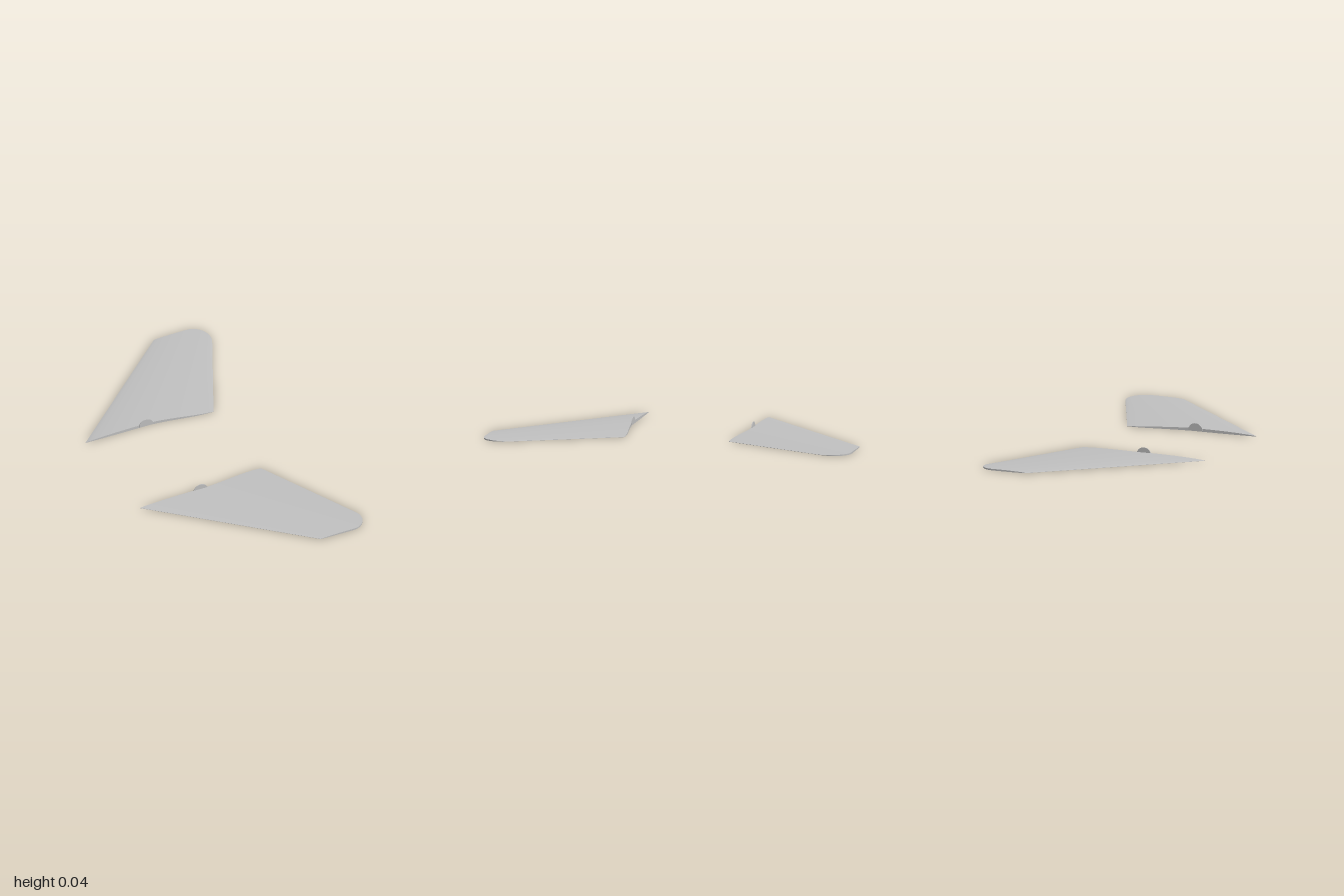
import * as THREE from 'three';

const V = (x, z) => new THREE.Vector2(x, z);

// Root edge: straight at the front, then bowing inward to the trailing corner
const root = new THREE.CurvePath();
root.add(new THREE.LineCurve(V(-0.51, 0.327), V(-0.14, 0.327)));
root.add(new THREE.CubicBezierCurve(V(-0.14, 0.327), V(0, 0.32), V(0.1, 0.284), V(0.225, 0.284)));

// Tip edge: straight, then a rounded trailing corner
const tip = new THREE.CurvePath();
tip.add(new THREE.LineCurve(V(0.225, 1), V(0.42, 1)));
tip.add(new THREE.CubicBezierCurve(V(0.42, 1), V(0.485, 1), V(0.53, 0.925), V(0.498, 0.855)));

// Planform position and thickness, u = leading to trailing edge, v = root to tip
function wingPoint(u, v, top) {
  const p = root.getPoint(u).lerp(tip.getPoint(u), v);
  const bulge = Math.pow(Math.sin(Math.PI * Math.pow(u, 0.85)), 0.8) || 0;
  const edge = 0.003 * (1 - u);
  const y = top ? edge + 0.001 + (0.013 - 0.007 * v) * bulge : edge * Math.pow(1 - u, 4);
  return [p.x, y, p.y];
}

// Smooth grid surface; flip reverses the facing
function surface(fn, nu, nv, flip) {
  const pos = [], index = [];
  for (let j = 0; j <= nv; j++)
    for (let i = 0; i <= nu; i++) pos.push(...fn(i / nu, j / nv));
  for (let j = 0; j < nv; j++) {
    for (let i = 0; i < nu; i++) {
      const a = j * (nu + 1) + i, b = a + 1, c = a + nu + 1, d = c + 1;
      index.push(...(flip ? [a, b, c, b, d, c] : [a, c, b, b, c, d]));
    }
  }
  const g = new THREE.BufferGeometry();
  g.setAttribute('position', new THREE.Float32BufferAttribute(pos, 3));
  g.setIndex(index);
  g.computeVertexNormals();
  return g;
}

export function createModel() {
  const model = new THREE.Group();
  model.name = 'wingPair';
  const grey = new THREE.MeshStandardMaterial({ color: 0xc0c0c0 });
  grey.name = 'light grey';

  for (const side of [1, -1]) {
    const wing = new THREE.Group();
    wing.name = side > 0 ? 'frontWing' : 'backWing';
    const add = (name, fn, nu, nv, flip) => {
      const placed = (u, v) => {
        const [x, y, z] = fn(u, v);
        return [x, y, z * side];
      };
      const mesh = new THREE.Mesh(surface(placed, nu, nv, side > 0 ? flip : !flip), grey);
      mesh.name = name;
      wing.add(mesh);
    };

    // Upper and lower skins
    add('upperSkin', (u, v) => wingPoint(u, v, true), 48, 16, false);
    add('lowerSkin', (u, v) => wingPoint(u, v, false), 48, 16, true);

    // Thin walls closing the four edges
    const wall = (u, v, t) => wingPoint(u, v, t > 0.5);
    add('rootWall', (s, t) => wall(s, 0, t), 48, 1, false);
    add('tipWall', (s, t) => wall(s, 1, t), 48, 1, true);
    add('leadingEdge', (s, t) => wall(0, s, t), 16, 1, true);
    add('trailingEdge', (s, t) => wall(1, s, t), 16, 1, false);

    // Half-round mounting tab standing on the root
    const shape = new THREE.Shape();
    shape.moveTo(-0.04, 0.004);
    shape.lineTo(0.04, 0.004);
    shape.lineTo(0.04, 0.016);
    shape.bezierCurveTo(0.03, 0.036, 0.015, 0.043, 0, 0.043);
    shape.bezierCurveTo(-0.015, 0.043, -0.03, 0.036, -0.04, 0.016);
    const tabGeometry = new THREE.ExtrudeGeometry(shape, {
      depth: 0.004, bevelEnabled: false, curveSegments: 12,
    });
    tabGeometry.translate(-0.153, 0, side * 0.327 - 0.002);
    const tab = new THREE.Mesh(tabGeometry, grey);
    tab.name = 'mountingTab';
    wing.add(tab);
    model.add(wing);
  }
  return model;
}
